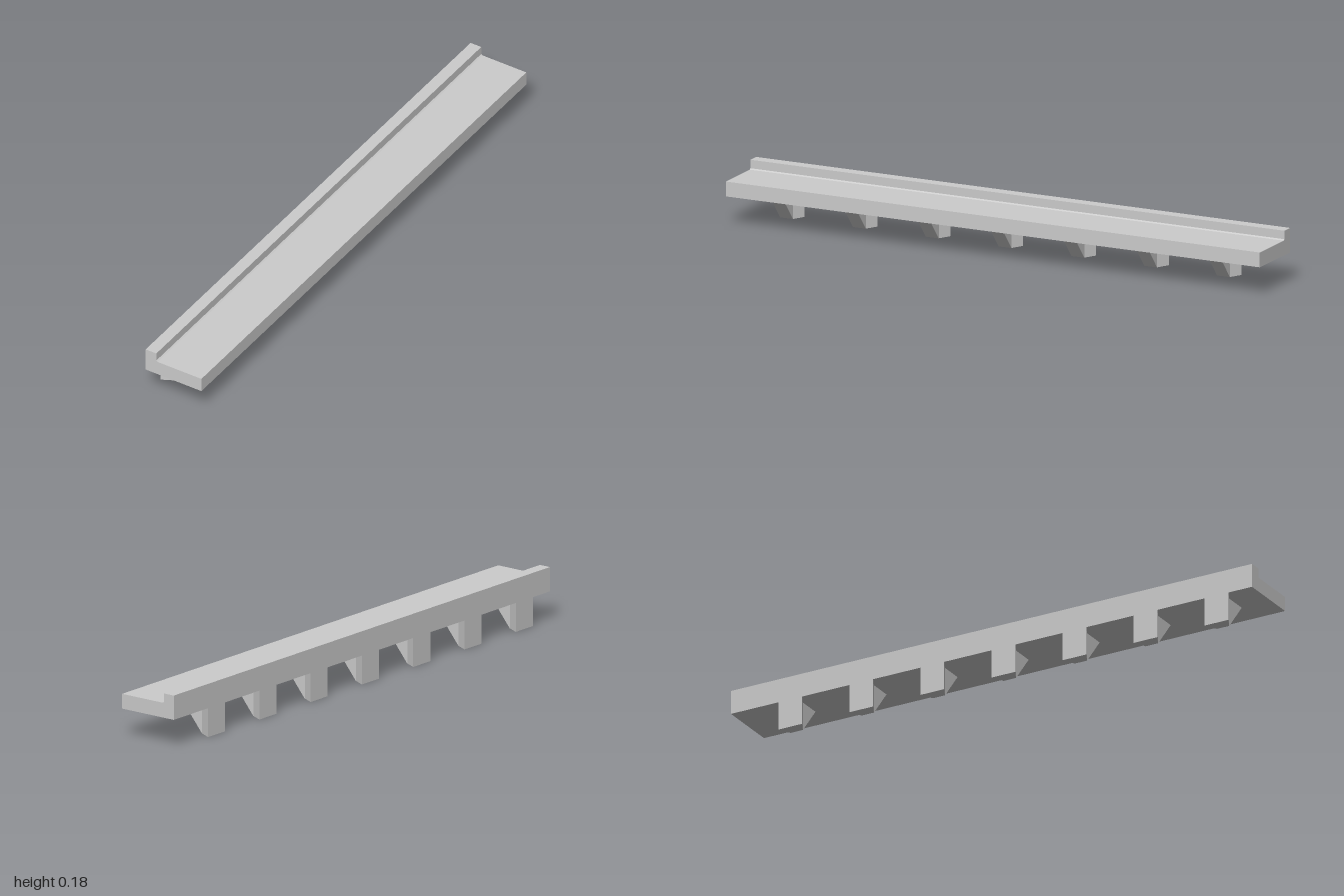
import * as THREE from 'three';

const material = new THREE.MeshStandardMaterial({ color: 0xcccccc, flatShading: true });

const extrude = (points, depth) => new THREE.ExtrudeGeometry(
  new THREE.Shape(points.map(([x, y]) => new THREE.Vector2(x, y))),
  { depth, bevelEnabled: false },
);

const BACK = -0.11, LIP = -0.068, FRONT = 0.11;
const UNDERSIDE = 0.1, TREAD = 0.151, LIP_TOP = 0.184;

// Long ledge with a raised lip and a tiny fillet at the lip's foot
function ledgeGeometry() {
  return extrude([
    [BACK, UNDERSIDE], [FRONT, UNDERSIDE], [FRONT, TREAD],
    [LIP + 0.005, TREAD], [LIP, TREAD + 0.004],
    [LIP, LIP_TOP], [BACK, LIP_TOP],
  ], 2).translate(0, 0, -1);
}

// Bracket: tapered root against the wall, then a narrow web sloping back to the foot
function bracketGeometry() {
  const wide = 0.0455, narrow = 0.024, tip = 0.016;
  const geometry = extrude([
    [BACK, -wide], [LIP, -narrow], [tip, -narrow],
    [tip, narrow], [LIP, narrow], [BACK, wide],
  ], UNDERSIDE).rotateX(-Math.PI / 2);

  // Pull the web's lower corners back to the root
  const position = geometry.attributes.position;
  for (let i = 0; i < position.count; i++) {
    if (position.getX(i) > 0 && position.getY(i) < UNDERSIDE / 2) position.setX(i, LIP + 0.001);
  }
  geometry.computeVertexNormals();
  return geometry;
}

export function createModel() {
  const model = new THREE.Group();
  model.name = 'bracketedLedge';

  const ledge = new THREE.Mesh(ledgeGeometry(), material);
  ledge.name = 'ledge';
  model.add(ledge);

  // Seven evenly spaced brackets
  const geometry = bracketGeometry();
  for (let i = 0; i < 7; i++) {
    const bracket = new THREE.Mesh(geometry, material);
    bracket.name = `bracket${i + 1}`;
    bracket.position.z = 0.864 - i * 0.2727;
    model.add(bracket);
  }
  return model;
}
